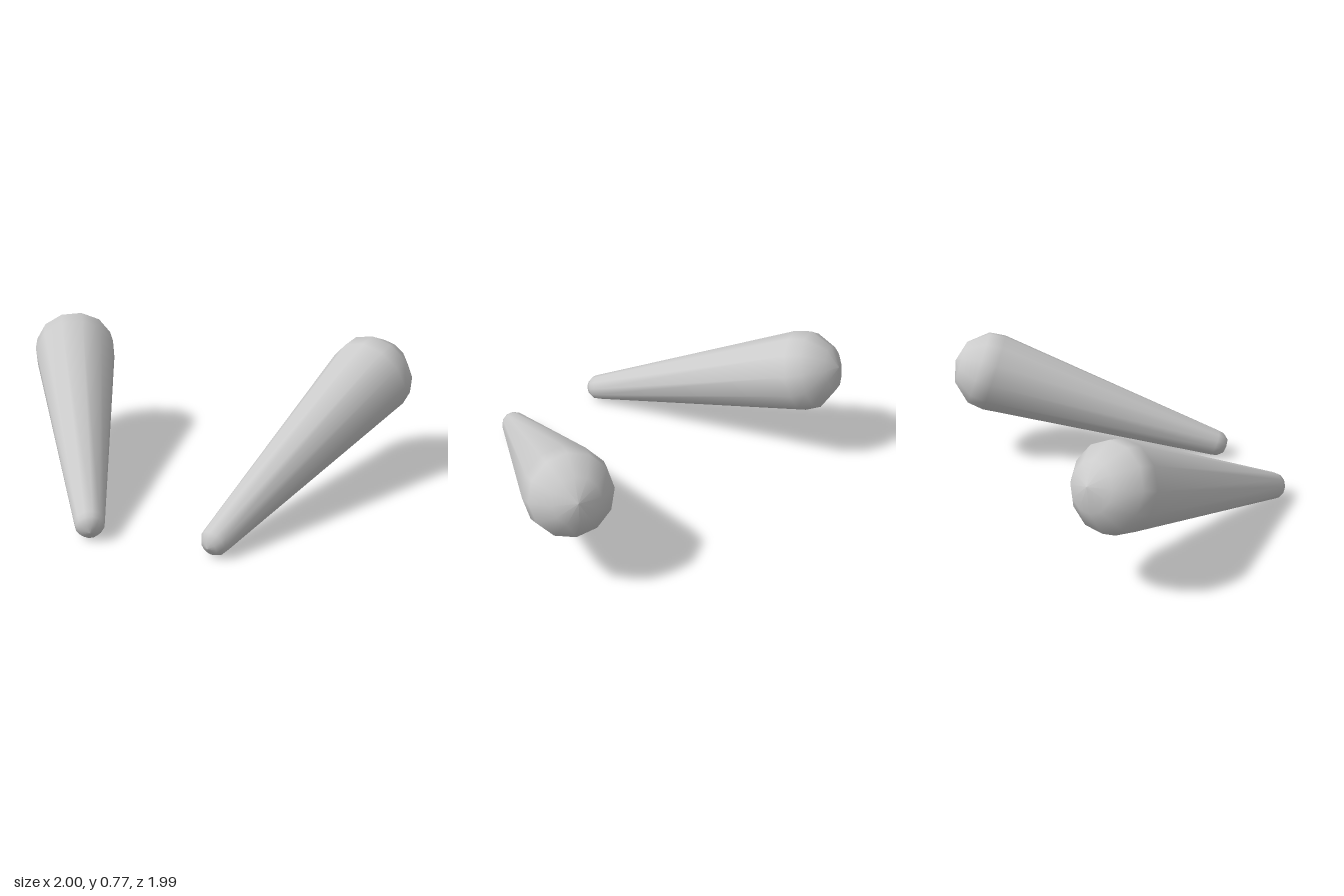
import * as THREE from 'three';

// Tapered club with rounded ends, running from centre a (thin) to centre b (thick)
function makeClub(name, a, b, material) {
  const axis = new THREE.Vector3().subVectors(b, a);
  const len = axis.length();
  const r = 0.078, R = 0.238;
  const profile = [
    [0, -r], [r * 0.6, -r * 0.84], [r * 0.93, -r * 0.42], [r, 0],
    [R * 0.98, len], [R * 0.93, len + R * 0.4], [R * 0.53, len + R * 0.86], [0, len + R],
  ].map(([x, y]) => new THREE.Vector2(x, y));
  const club = new THREE.Mesh(new THREE.LatheGeometry(profile, 12), material);
  club.name = name;
  club.position.copy(a);
  club.quaternion.setFromUnitVectors(new THREE.Vector3(0, 1, 0), axis.normalize());
  return club;
}

export function createModel() {
  const group = new THREE.Group();
  group.name = 'clubPair';
  const material = new THREE.MeshStandardMaterial({ color: 0xcccccc });
  const v = (x, y, z) => new THREE.Vector3(x, y, z);

  // Right club points backwards, left club points out to the side
  group.add(makeClub('rightClub', v(-0.922, 0.078, 0.525), v(-0.655, 0.53, -0.76), material));
  group.add(makeClub('leftClub', v(-0.385, 0.078, 0.92), v(0.762, 0.53, 0.24), material));
  return group;
}
